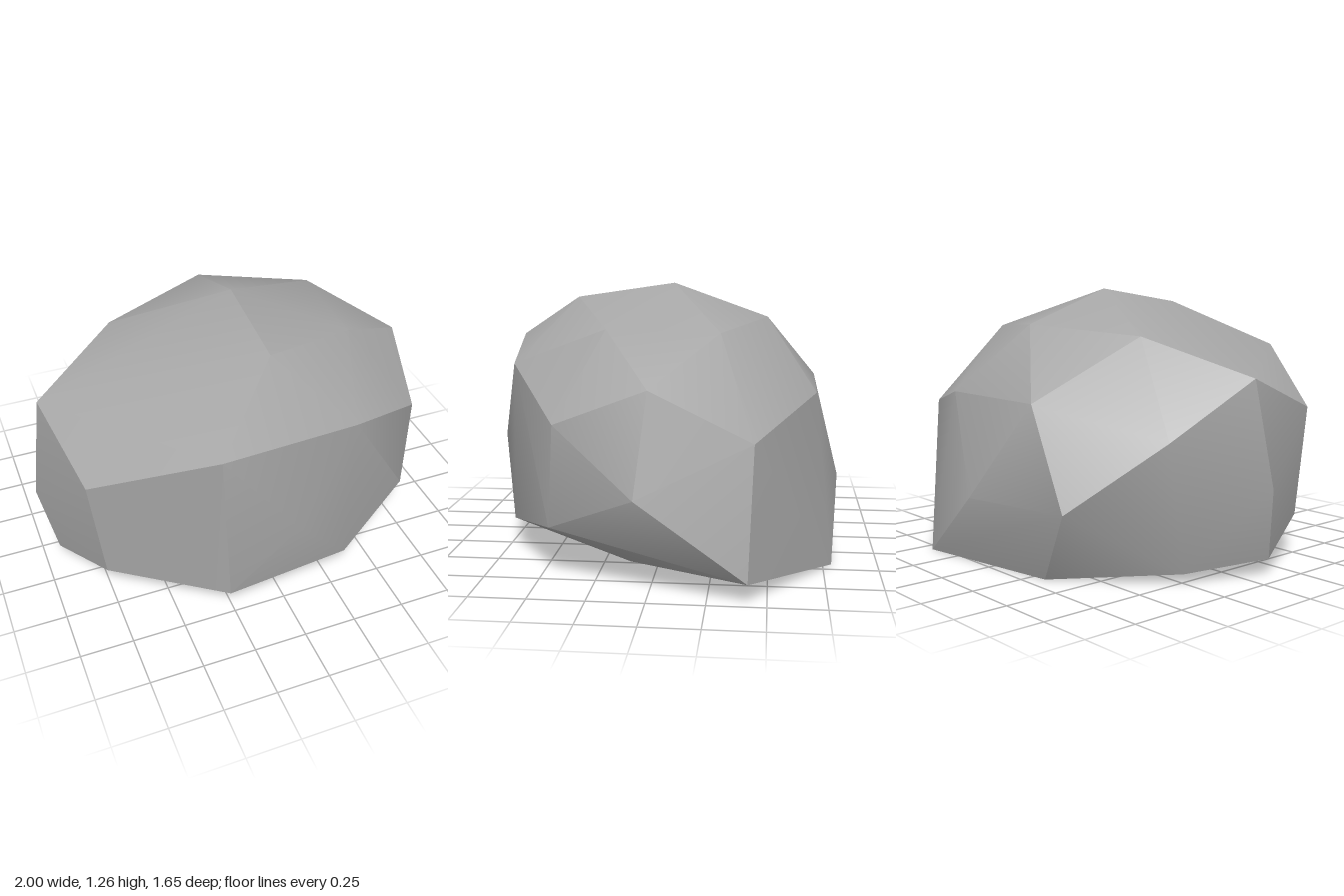
import * as THREE from 'three';
import { toCreasedNormals } from 'three/addons/utils/BufferGeometryUtils.js';
import { ConvexGeometry } from 'three/addons/geometries/ConvexGeometry.js';

// Corner points of the boulder, ring by ring
const crown = [
  [0.03, 1.26, -0.03], [0.03, 1.19, 0.44], [0.52, 1.08, 0.23],
  [0.54, 1.07, -0.28], [0.03, 1.1, -0.48], [-0.5, 1.06, -0.27],
];
const shoulder = [
  [-0.33, 0.97, 0.8], [0.35, 0.9, 0.69], [0.8, 0.7, 0.42], [0.9, 0.87, 0],
  [0.92, 0.66, -0.44], [0.32, 0.78, -0.71], [-0.3, 0.78, -0.72],
  [-0.82, 0.64, -0.4], [-0.93, 0.89, 0], [-0.84, 0.72, 0.47],
];
const waist = [
  [0.03, 0.5, 0.82], [1, 0.43, 0.05], [0.03, 0.33, -0.83],
  [-0.55, 0.34, -0.75], [-1, 0.41, 0.05],
];
const foot = [
  [-0.28, 0.15, 0.77], [0.33, 0.15, 0.71], [0.77, 0.24, 0.45], [0.77, 0.1, 0.09],
  [0.99, 0.09, -0.42], [0.43, 0, -0.79], [-0.32, 0, -0.67],
  [-0.78, 0.05, -0.27], [-0.93, 0.08, 0.11], [-0.78, 0.2, 0.47],
];

export function createModel() {
  const stone = new THREE.MeshStandardMaterial({ color: 0xa6a6a6 });
  stone.name = 'stone grey';

  // Faceted hull: soft between shallow facets, sharp at the strong ridges
  const points = [...crown, ...shoulder, ...waist, ...foot].map((p) => new THREE.Vector3(...p));
  const hull = new ConvexGeometry(points);
  const boulder = new THREE.Mesh(toCreasedNormals(hull, Math.PI / 6), stone);
  boulder.name = 'boulder';

  const group = new THREE.Group();
  group.name = 'rock';
  group.add(boulder);
  return group;
}
